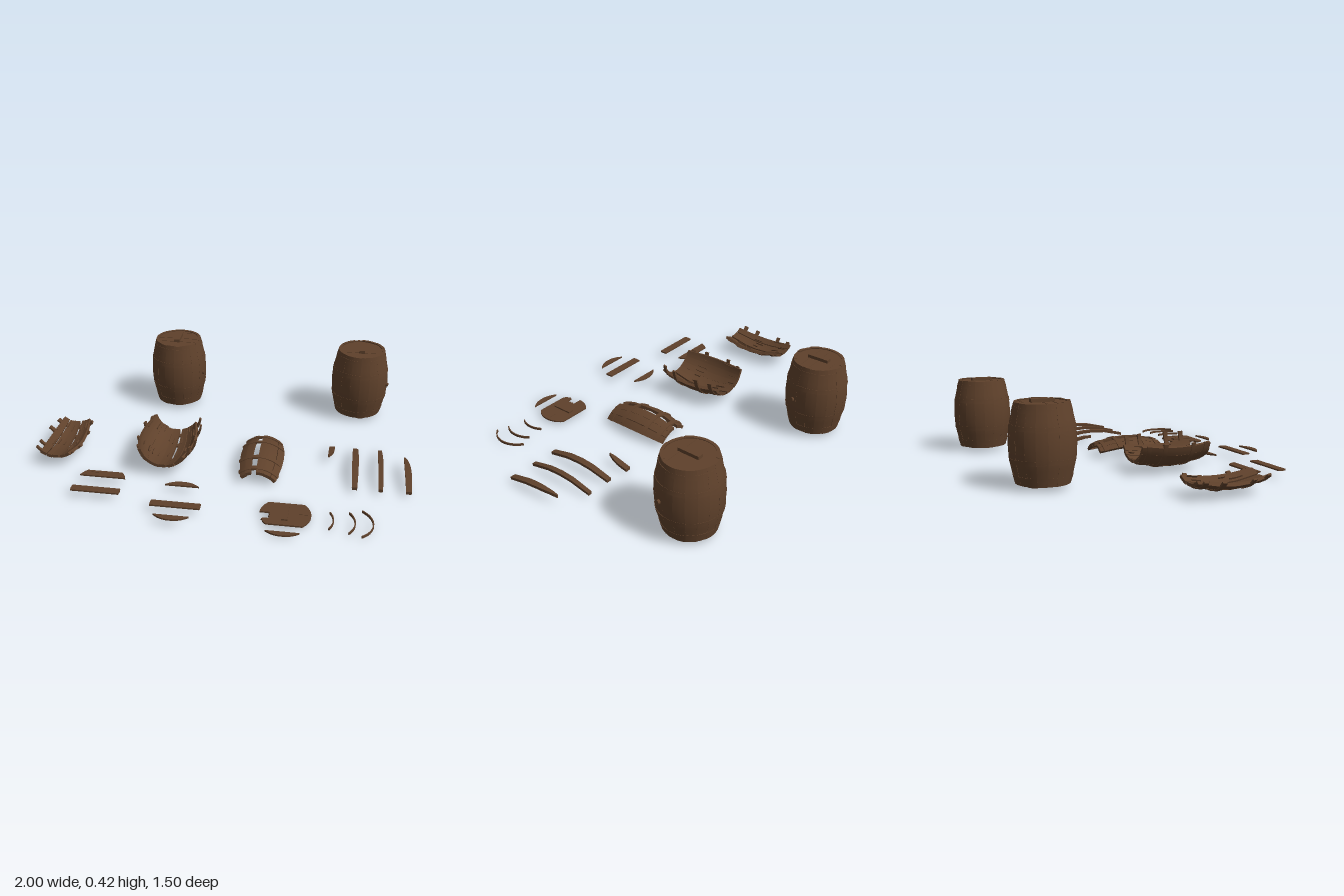
import * as THREE from 'three';
import { mergeGeometries } from 'three/addons/utils/BufferGeometryUtils.js';

const wood = new THREE.MeshStandardMaterial({ color: 0x5f412b });
wood.name = 'wood';

const H = 0.39, THICK = 0.016;
const HOOPS = [0.09, 0.3, 0.7, 0.91], HOOP_HALF = 0.028;
const deg = Math.PI / 180;

// Barrel radius along the height, made of straight runs
const PROFILE = [[0, 0.131], [0.3, 0.157], [0.5, 0.162], [0.7, 0.157], [1, 0.131]];
function bulge(t) {
  const i = Math.max(1, PROFILE.findIndex((p) => p[0] >= Math.min(t, 1)));
  const [t0, r0] = PROFILE[i - 1], [t1, r1] = PROFILE[i];
  return r0 + ((r1 - r0) * (t - t0)) / (t1 - t0);
}

let seed = 7;
const rand = () => (seed = (seed * 16807) % 2147483647) / 2147483647;

// A box bent around the barrel axis: angles in degrees, t along the height, narrowed at one end by taper
function bend(a0, a1, t0, t1, off = 0, thick = THICK, { taper = 0, radius = bulge, height = H } = {}) {
  const ns = Math.max(1, Math.ceil((a1 - a0) / 8)), nt = Math.max(1, Math.ceil((t1 - t0) * 10));
  const g = new THREE.BoxGeometry(1, 1, 1, ns, nt, 1);
  const p = g.attributes.position;
  for (let i = 0; i < p.count; i++) {
    const v = p.getY(i) + 0.5, t = t0 + (t1 - t0) * v;
    const cut = taper > 0 ? taper * v ** 3 : -taper * (1 - v) ** 4;
    const start = a0 + (a1 - a0) * cut;
    const a = (start + (a1 - start) * (p.getX(i) + 0.5)) * deg;
    const r = radius(t) + off + (p.getZ(i) - 0.5) * thick;
    p.setXYZ(i, Math.sin(a) * r, t * height, Math.cos(a) * r);
  }
  g.computeVertexNormals();
  return g;
}

function add(parent, name, geo) {
  const m = new THREE.Mesh(Array.isArray(geo) ? mergeGeometries(geo) : geo, wood);
  m.name = name;
  parent.add(m);
  return m;
}

function box(parent, name, size, pos) {
  add(parent, name, new THREE.BoxGeometry(...size)).position.set(...pos);
}

// Whole barrel standing upright
function barrel(x, z, seams) {
  const g = new THREE.Group();
  g.name = 'barrel';
  g.position.set(x, 0.02, z);
  const staves = [], hoops = [], splinters = [], n = 18, step = 360 / n;
  for (let i = 0; i < n; i++) {
    const a = i * step;
    staves.push(bend(a, a + step, rand() * 0.01, 1 - rand() * 0.01, rand() * 0.002));
    // thin splinters along some of the joints
    for (let k = 0; k < 3; k++) {
      const t = k * 0.32 + rand() * 0.15, len = 0.05 + rand() * 0.1;
      if (rand() < 0.5) splinters.push(bend(a - 0.9, a + 0.9, t, t + len, 0.002, THICK + 0.002));
    }
  }
  // hoops made of uneven lengths
  for (const t of HOOPS) {
    for (let a = 0; a < 360; a += 40) {
      const lift = (rand() - 0.5) * 0.016;
      hoops.push(bend(a, a + 40, t - HOOP_HALF + lift, t + HOOP_HALF + lift, 0.002 + rand() * 0.001, THICK + 0.003));
    }
  }
  add(g, 'staves', staves);
  add(g, 'hoops', hoops);
  add(g, 'splinters', splinters);
  // lid, base and handle
  for (const [name, y] of [['lid', 0.377], ['base', 0.012]]) {
    add(g, name, new THREE.CylinderGeometry(0.124, 0.124, 0.012, 36)).position.y = y;
  }
  for (const [sx, sz, len] of seams) {
    box(g, 'lidSeam', [len, 0.003, 0.004], [sx, 0.3835, sz]);
  }
  box(g, 'handle', [0.032, 0.02, 0.115], [0, 0.39, 0]);
  // bung on the side
  const bung = add(g, 'bung', new THREE.CylinderGeometry(0.011, 0.012, 0.016, 12));
  bung.rotation.z = -Math.PI / 2;
  bung.rotation.y = -0.32;
  bung.position.set(0.157, 0.195, 0.05);
  return g;
}

// Barrel pieces lying with their axis along z; angle 0 points down
function lying(name, x, y, z = -0.085) {
  const g = new THREE.Group();
  g.name = name;
  g.rotation.x = Math.PI / 2;
  g.position.set(x, y, z);
  return g;
}

function brokenShell(x, y, staveAngles, hoopFrom, hoopTo) {
  const g = lying('brokenShell', x, y);
  const staves = [], hoops = [], splinters = [];
  for (const [a0, a1] of staveAngles) {
    staves.push(bend(a0, a1, rand() * 0.015, 1 - rand() * 0.015, rand() * 0.003));
    for (let k = 0; k < 2; k++) {
      const a = a0 + (a1 - a0) * (0.15 + 0.7 * rand()), t = k * 0.45 + rand() * 0.2;
      splinters.push(bend(a - 0.8, a + 0.8, t, t + 0.08 + rand() * 0.1, 0, THICK + 0.006));
    }
  }
  for (const t of HOOPS) {
    const a0 = hoopFrom + rand() * 7, a1 = hoopTo - rand() * 7;
    hoops.push(bend(a0, a1, t - HOOP_HALF, t + HOOP_HALF, 0.006, 0.01));
  }
  add(g, 'staves', staves);
  add(g, 'hoops', hoops);
  add(g, 'splinters', splinters);
  return g;
}

// Plank cut from a round lid between two z offsets, optionally broken off at the left
function lidPlank(cx, cz, z0, z1, y, cut = -1) {
  const s = new THREE.Shape(), R = 0.126, N = 8;
  for (let k = 0; k <= 2 * N + 1; k++) {
    const right = k <= N, f = right ? k / N : (2 * N + 1 - k) / N;
    const z = z0 + (z1 - z0) * f, half = Math.sqrt(Math.max(0.00001, R * R - z * z));
    const x = right ? half : Math.max(-half, cut + 0.004 * (k % 3));
    k ? s.lineTo(x, z) : s.moveTo(x, z);
  }
  const m = new THREE.Mesh(new THREE.ExtrudeGeometry(s, { depth: 0.008, bevelEnabled: false }), wood);
  m.name = 'lidPlank';
  m.rotation.x = Math.PI / 2;
  m.position.set(cx, y, cz);
  return m;
}

export function createModel() {
  const model = new THREE.Group();
  model.name = 'barrelsAndPieces';
  model.add(
    barrel(-0.378, -0.59, [[0, -0.003, 0.236], [0.035, -0.09, 0.07], [0, 0.047, 0.22]]),
    barrel(0.712, -0.59, [[0, 0.047, 0.22]]),
  );

  // broken shells: two troughs and one arch
  model.add(
    brokenShell(-0.873, 0.188, [[-38, -22], [-20, -8], [-8, 8], [14, 26], [26, 38]], -52, 47),
    brokenShell(-0.287, 0.185, [[-75, -58], [-58, -41], [-41, -25], [-25, -9], [-9, 7], [13, 29], [31, 45], [46, 61]], -82, 85),
    brokenShell(0.209, -0.063, [[131, 147], [148, 164], [164, 182], [194, 207], [207, 221]], 130, 228),
  );

  // loose staves: x, axis height, z shift, half width in degrees, t range, pointed end
  for (const [x, y, z, w, t0, t1, taper] of [
    [0.582, -0.107, -0.11, 6.5, 0.04, 0.39, 0.9], [0.71, -0.1, -0.085, 6.2, 0, 1, 0],
    [0.842, -0.1, -0.085, 4.8, 0, 1, 0], [0.982, -0.1, -0.085, 6.4, 0.22, 1, -0.8]]) {
    const g = lying('looseStave', x, y, z);
    add(g, 'stave', bend(180 - w, 180 + w, t0, t1, 0, THICK, { taper }));
    model.add(g);
  }

  // loose lid planks
  for (const p of [[-0.577, 0.458, -0.087, -0.038], [-0.58, 0.54, -0.021, 0.023],
    [-0.155, 0.533, -0.125, -0.09], [-0.155, 0.609, -0.022, 0.022], [-0.157, 0.612, 0.09, 0.125]]) {
    model.add(lidPlank(...p, 0.044));
  }
  box(model, 'plankSplinter', [0.05, 0.003, 0.004], [-0.62, 0.0445, 0.388]);

  // broken lid with its handle
  for (const p of [[-0.09, -0.005], [-0.005, 0.045, -0.08], [0.045, 0.09, -0.113]]) {
    model.add(lidPlank(0.382, 0.572, p[0], p[1], 0.019, p[2]));
  }
  model.add(lidPlank(0.38, 0.622, 0.095, 0.125, 0.02));
  box(model, 'lidSplinter', [0.05, 0.003, 0.004], [0.47, 0.0195, 0.567]);
  box(model, 'handle', [0.03, 0.027, 0.116], [0.382, 0.0135, 0.57]);

  // snapped hoop strips
  for (const [x, z, R, a] of [[0.618, 0.59, 0.13, 32], [0.722, 0.595, 0.135, 39], [0.808, 0.592, 0.13, 55]]) {
    const geo = bend(90 - a, 90 + a, 0, 1, 0, 0.006, { radius: () => R, height: 0.012 });
    add(model, 'hoopStrip', geo).position.set(x - R, 0.008, z);
  }
  return model;
}
